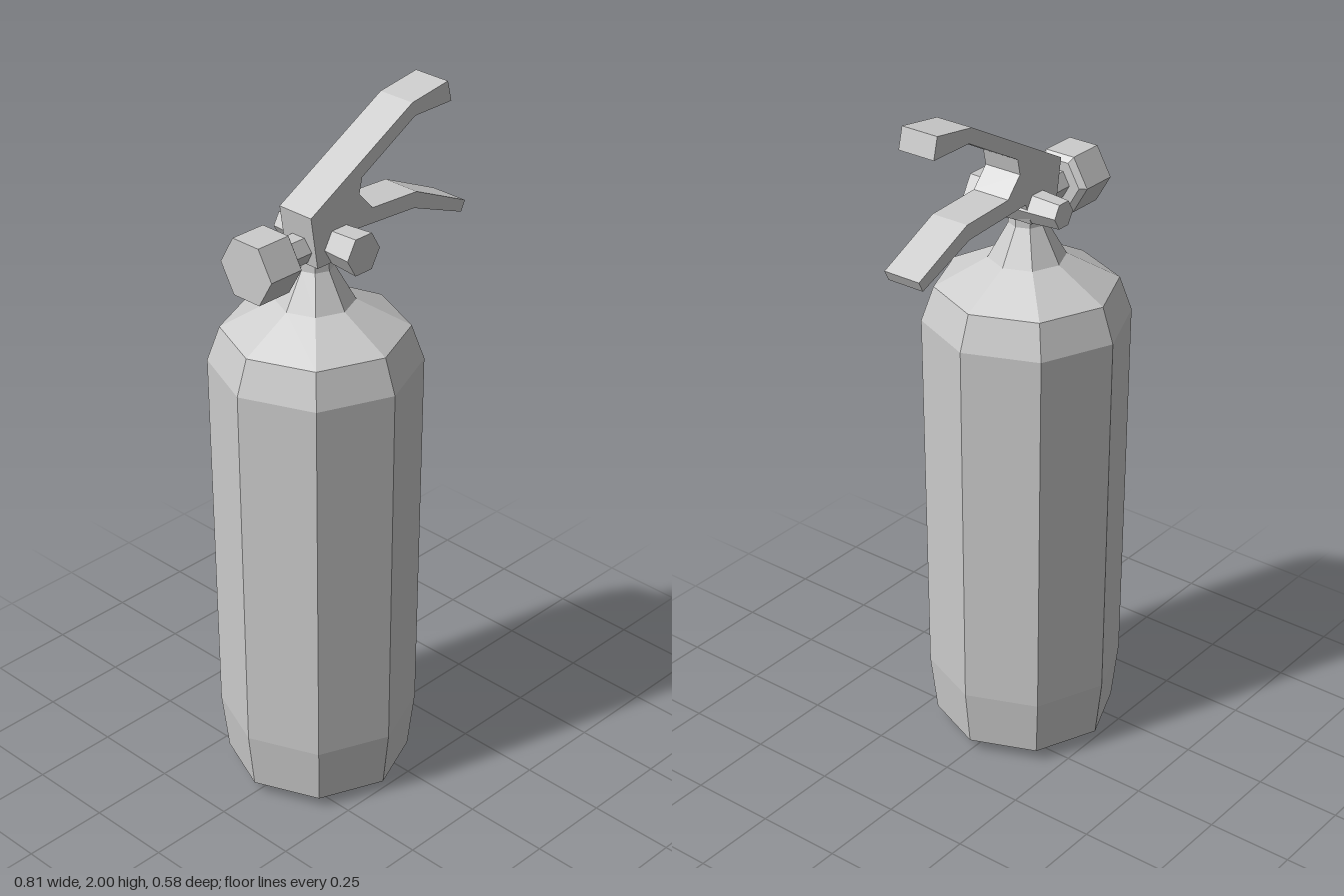
import * as THREE from 'three';

export function createModel() {
  const model = new THREE.Group();
  model.name = 'fireExtinguisher';
  const material = new THREE.MeshStandardMaterial({ color: 0xcccccc, flatShading: true });

  const add = (name, geometry, x = 0, y = 0, z = 0) => {
    const mesh = new THREE.Mesh(geometry, material);
    mesh.name = name;
    mesh.position.set(x, y, z);
    model.add(mesh);
    return mesh;
  };

  // Eight-sided tank with shoulder and neck
  const tankProfile = [
    [0, 0.005], [0.26, 0.04], [0.28, 0.21], [0.29, 1.32],
    [0.255, 1.42], [0.108, 1.5], [0.052, 1.6], [0.05, 1.64], [0, 1.64],
  ].map(([r, y]) => new THREE.Vector2(r, y));
  add('tank', new THREE.LatheGeometry(tankProfile, 8), -0.117);

  // Valve block, carrying handle and squeeze lever in one side profile
  const handleShape = new THREE.Shape([
    [-0.165, 1.625], [-0.06, 1.625], [-0.035, 1.69], [0.2, 1.675],
    [0.39, 1.6], [0.405, 1.63], [0.21, 1.72], [0.04, 1.73],
    [-0.01, 1.785], [0, 1.83], [0.2, 1.94], [0.34, 1.94],
    [0.325, 2], [0.188, 1.98], [-0.188, 1.775],
  ].map(([x, y]) => new THREE.Vector2(x, y)));
  const depth = 0.114;
  add('handleAndLever',
    new THREE.ExtrudeGeometry(handleShape, { depth, bevelEnabled: false }), 0, 0, -depth / 2);

  // Tapered six-sided cross pin, wider at the front
  const pin = new THREE.CylinderGeometry(0.06, 0.04, 0.29, 6, 1, false, Math.PI / 6);
  pin.rotateX(Math.PI / 2);
  add('crossPin', pin, -0.085, 1.668);

  // Six-sided gauge stem, running along x into the valve
  const stem = new THREE.CylinderGeometry(0.043, 0.043, 0.14, 6);
  stem.rotateZ(Math.PI / 2);
  add('gaugeStem', stem, -0.19, 1.668);

  // Six-sided gauge head with a bevelled inner rim
  const gaugeProfile = [[0, 0], [0.075, 0], [0.093, 0.013], [0.093, 0.12], [0, 0.12]]
    .map(([r, y]) => new THREE.Vector2(r, y));
  const gauge = new THREE.LatheGeometry(gaugeProfile, 6);
  gauge.rotateZ(Math.PI / 2);
  add('gaugeHead', gauge, -0.246, 1.668);

  return model;
}
